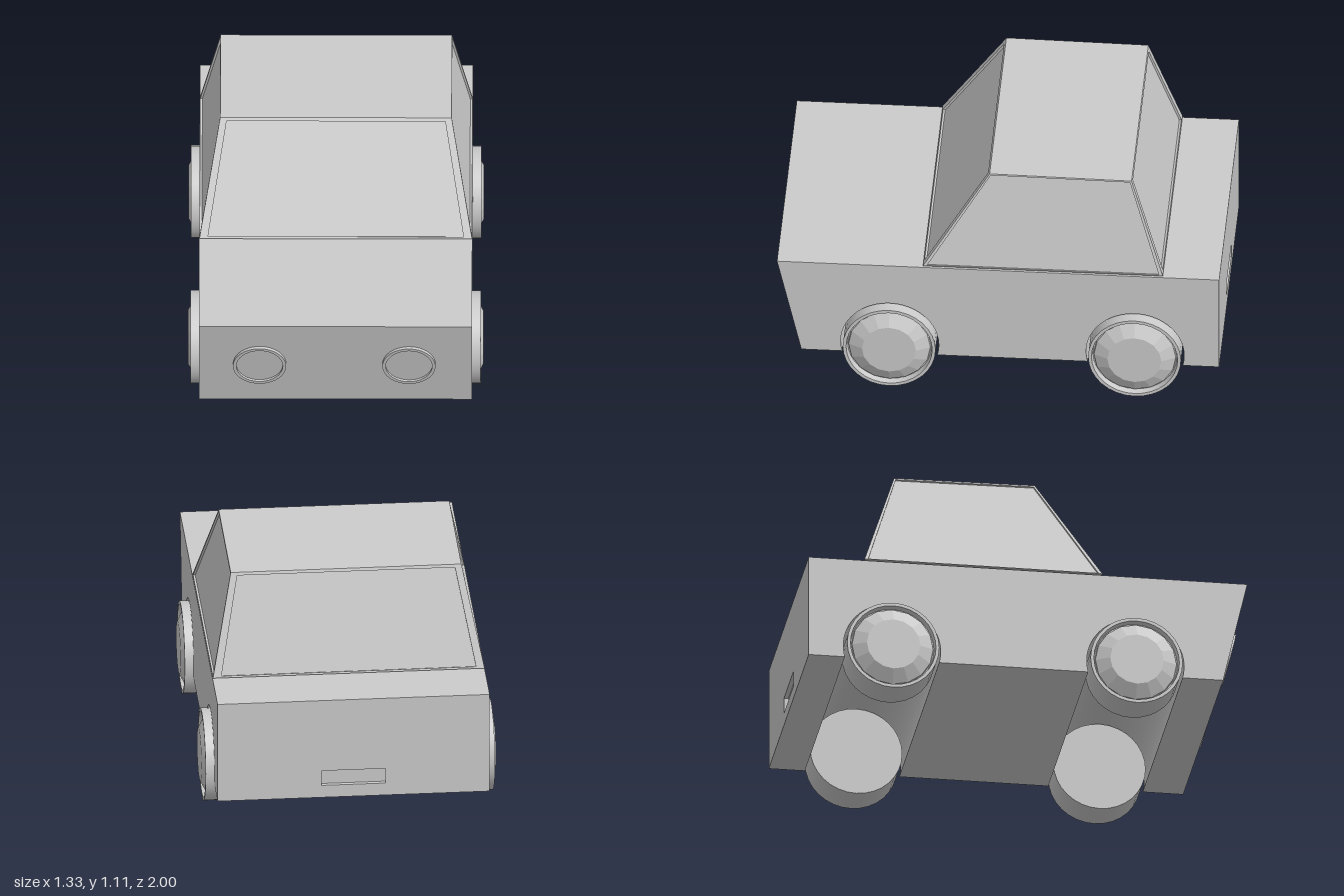
import * as THREE from 'three';
import { toCreasedNormals } from 'three/addons/utils/BufferGeometryUtils.js';

const grey = new THREE.MeshStandardMaterial({ color: 0xcccccc });

function add(parent, name, geometry) {
  const mesh = new THREE.Mesh(geometry, grey);
  mesh.name = name;
  parent.add(mesh);
  return mesh;
}

// Wall with a sunken pane; corners run bl, br, tr, tl seen from outside
function wallGeometry(corners, side, bottom, top, depth) {
  const [bl, br, tr, tl] = corners.map((c) => new THREE.Vector3(...c));
  const at = (u, v) => bl.clone().lerp(br, u).lerp(tl.clone().lerp(tr, u), v);
  const normal = br.clone().sub(bl).cross(tl.clone().sub(bl)).normalize();
  const outer = [bl, br, tr, tl];
  const inner = [at(side, bottom), at(1 - side, bottom), at(1 - side, 1 - top), at(side, 1 - top)];
  const pane = inner.map((p) => p.clone().addScaledVector(normal, -depth));
  const points = [];
  const quad = (a, b, c, d) => points.push(a, b, c, a, c, d);
  for (let i = 0; i < 4; i++) {
    const j = (i + 1) % 4;
    quad(outer[i], outer[j], inner[j], inner[i]); // frame
    quad(inner[i], inner[j], pane[j], pane[i]); // reveal
  }
  quad(...pane);
  const geometry = new THREE.BufferGeometry().setFromPoints(points);
  geometry.computeVertexNormals();
  return geometry;
}

function quadGeometry(corners) {
  const [a, b, c, d] = corners.map((p) => new THREE.Vector3(...p));
  const geometry = new THREE.BufferGeometry().setFromPoints([a, b, c, a, c, d]);
  geometry.computeVertexNormals();
  return geometry;
}

function lathe(points, sides, crease) {
  const profile = points.map(([r, y]) => new THREE.Vector2(r, y));
  return toCreasedNormals(new THREE.LatheGeometry(profile, sides), crease);
}

export function createModel() {
  const car = new THREE.Group();
  car.name = 'car';
  const axles = [0.49, -0.62];
  const wheelY = 0.21, halfWidth = 0.616, low = 0.155, high = 0.64;

  // Lower body: side profile with wheel tunnels, extruded across the car
  const archR = 0.222;
  const a = Math.asin((wheelY - low) / archR);
  const profile = new THREE.Shape();
  profile.moveTo(-0.98, high);
  profile.lineTo(1, high);
  profile.lineTo(0.89, low);
  for (const z of axles) profile.absarc(z, wheelY, archR, -a, Math.PI + a, false);
  profile.lineTo(-0.98, low);
  profile.closePath();
  const bodyGeometry = new THREE.ExtrudeGeometry(profile, {
    depth: halfWidth * 2, bevelEnabled: false, curveSegments: 20,
  });
  bodyGeometry.translate(0, 0, -halfWidth).rotateY(-Math.PI / 2);
  add(car, 'body', toCreasedNormals(bodyGeometry, 0.5));

  // Tail panel with the sunken number plate slot
  const tail = new THREE.Shape();
  tail.moveTo(-halfWidth, low);
  tail.lineTo(halfWidth, low);
  tail.lineTo(halfWidth, high);
  tail.lineTo(-halfWidth, high);
  tail.closePath();
  const slot = new THREE.Path();
  slot.moveTo(-0.145, 0.215);
  slot.lineTo(-0.145, 0.288);
  slot.lineTo(0.145, 0.288);
  slot.lineTo(0.145, 0.215);
  slot.closePath();
  tail.holes.push(slot);
  add(car, 'tailPanel', new THREE.ExtrudeGeometry(tail, { depth: 0.02, bevelEnabled: false })).position.z = -1;

  // Cabin: tapered shell, a hair above the body
  const cabin = new THREE.Group();
  cabin.name = 'cabin';
  car.add(cabin);
  const y0 = 0.648, w0 = 0.615, w1 = 0.522;
  const ring = (w, yFront, yBack, zFront, zBack) =>
    [[-w, yFront, zFront], [w, yFront, zFront], [w, yBack, zBack], [-w, yBack, zBack]];
  const base = ring(w0, y0, y0, 0.34, -0.745);
  const roof = ring(w1, 1.11, 1.103, 0.045, -0.597);
  ['windshield', 'leftWindow', 'rearWindow', 'rightWindow'].forEach((name, i) => {
    const j = (i + 1) % 4;
    const inset = i % 2 ? [0.015, 0.008, 0.016] : [0.03, 0.018, 0.03];
    add(cabin, name, wallGeometry([base[i], base[j], roof[j], roof[i]], ...inset, 0.01));
  });
  add(cabin, 'roof', quadGeometry(roof));
  add(cabin, 'cabinFloor', quadGeometry([...base].reverse()));

  // Headlights: raised rim around a sunken lens, tilted with the nose
  const lamp = lathe([[0.12, -0.01], [0.12, 0.014], [0.105, 0.014], [0.105, 0.003], [0, 0.003]], 32, 0.5);
  lamp.rotateX(Math.PI / 2);
  const slope = Math.atan2(0.11, high - low);
  for (const [name, x] of [['rightHeadlight', -0.342], ['leftHeadlight', 0.332]]) {
    const light = add(car, name, lamp);
    light.position.set(x, 0.39, 0.89 + (0.39 - low) * Math.tan(slope));
    light.rotation.x = slope;
  }

  // Wheels: tyre with dished rim, faceted hub cap
  const tyre = lathe([[0, 0.49], [0.21, 0.49], [0.21, 0.655], [0.195, 0.655], [0.19, 0.625], [0, 0.625]], 32, 0.5);
  const hub = lathe([[0.188, 0.625], [0.185, 0.634], [0.122, 0.667], [0, 0.667]], 16, 0.1);
  for (const g of [tyre, hub]) g.rotateZ(-Math.PI / 2);
  axles.forEach((z, i) => {
    for (const s of [1, -1]) {
      const wheel = new THREE.Group();
      wheel.name = (i ? 'rear' : 'front') + (s > 0 ? 'Left' : 'Right') + 'Wheel';
      add(wheel, 'tyre', tyre);
      add(wheel, 'hubCap', hub);
      wheel.position.set(0, wheelY, z);
      if (s < 0) wheel.rotation.y = Math.PI;
      car.add(wheel);
    }
  });

  return car;
}
